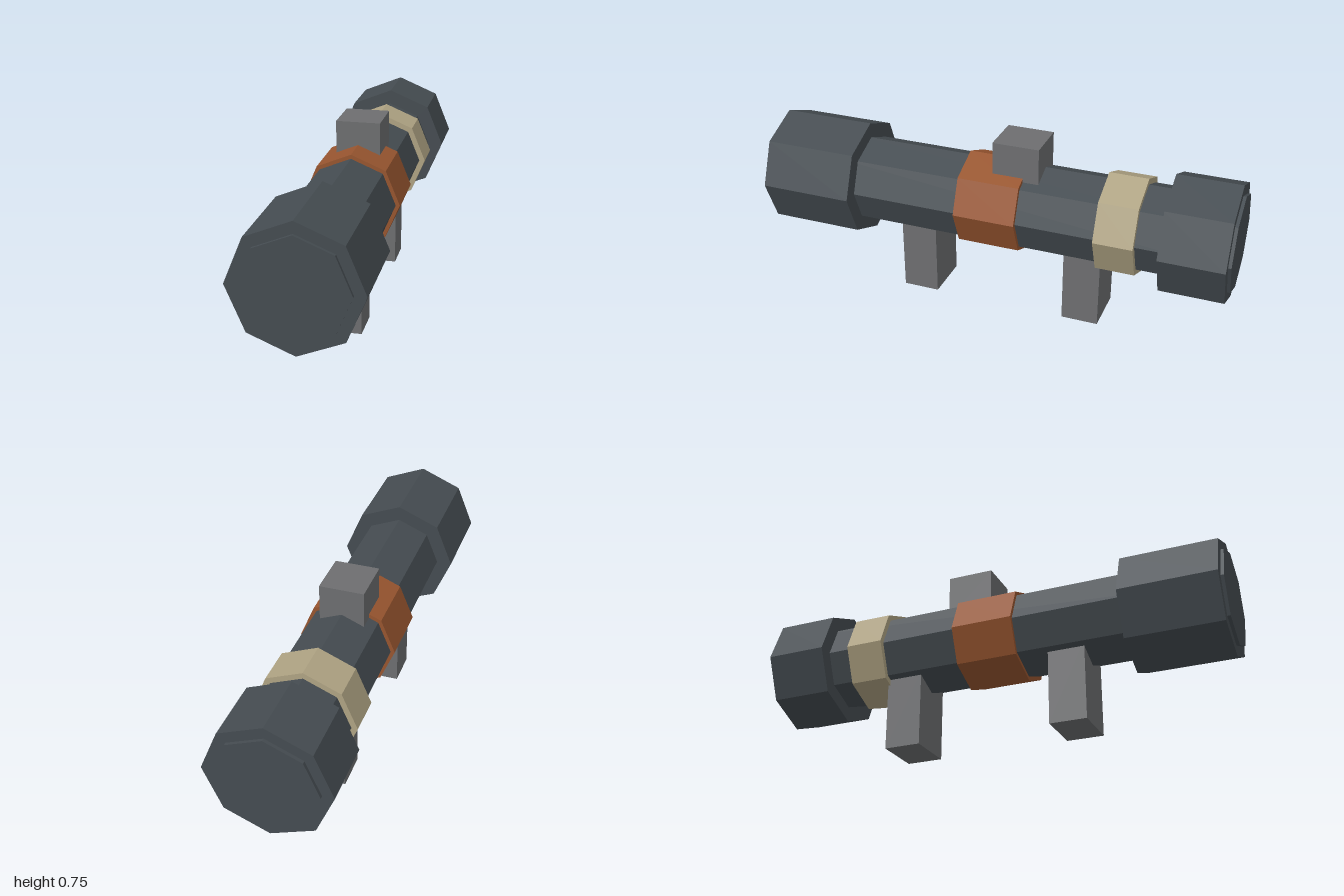
import * as THREE from 'three';

const AXIS_Y = 0.45; // height of the tube's centre line

function material(name, color) {
  const m = new THREE.MeshStandardMaterial({ color });
  m.name = name;
  m.flatShading = true;
  return m;
}

export function createModel() {
  const model = new THREE.Group();
  model.name = 'scope';

  const dark = material('dark slate', 0x454c51);
  const grey = material('mount grey', 0x6d6e70);
  const rust = material('rust orange', 0x97552f);
  const tan = material('tan', 0xafa383);

  // Eight-sided drum along z, with a corner pointing up
  function drum(name, radius, z0, z1, mat) {
    const geo = new THREE.CylinderGeometry(radius, radius, z1 - z0, 8);
    geo.rotateX(Math.PI / 2);
    const mesh = new THREE.Mesh(geo, mat);
    mesh.name = name;
    mesh.position.set(0, AXIS_Y, (z0 + z1) / 2);
    model.add(mesh);
  }

  // Block centred on x
  function block(name, width, y0, y1, z0, z1, mat) {
    const mesh = new THREE.Mesh(new THREE.BoxGeometry(width, y1 - y0, z1 - z0), mat);
    mesh.name = name;
    mesh.position.set(0, (y0 + y1) / 2, (z0 + z1) / 2);
    model.add(mesh);
  }

  // Main tube and the wider housings at its ends
  drum('mainTube', 0.185, -0.8, 0.7, dark);
  drum('frontHousing', 0.25, 0.592, 0.987, dark);
  drum('rearHousing', 0.25, -0.987, -0.725, dark);

  // Lenses standing slightly proud of the housings
  drum('frontLens', 0.204, 0.95, 1, dark);
  drum('rearLens', 0.204, -1, -0.95, dark);

  // Rings around the tube
  drum('centreRing', 0.202, -0.13, 0.132, rust);
  drum('focusRing', 0.21, -0.622, -0.46, tan);

  // Adjustment knob on top and the two mounting feet
  block('topKnob', 0.184, 0.56, 0.75, -0.196, 0, grey);
  block('frontFoot', 0.21, 0, 0.33, 0.255, 0.41, grey);
  block('rearFoot', 0.21, 0, 0.33, -0.47, -0.315, grey);

  return model;
}
